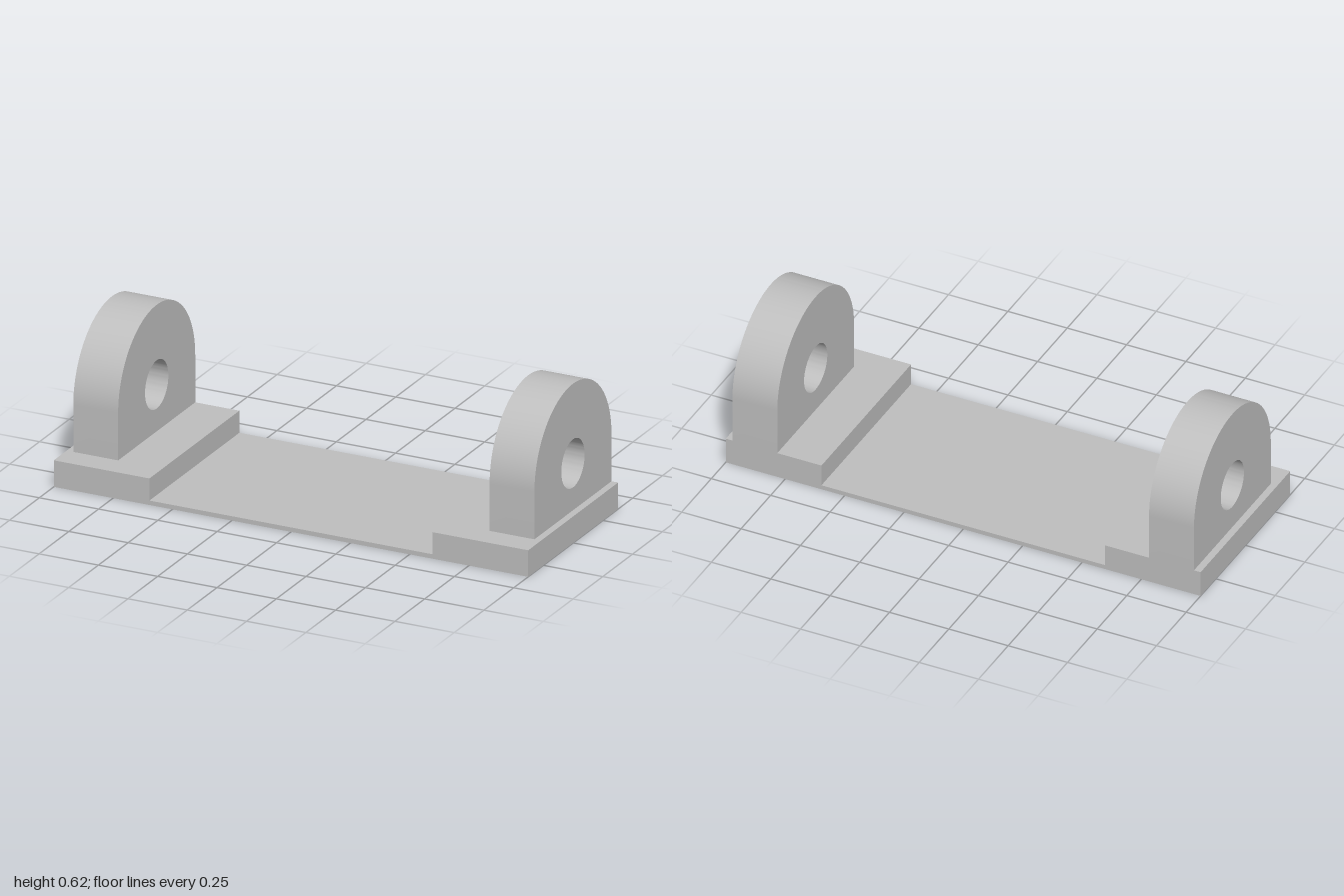
import * as THREE from 'three';
import { toCreasedNormals } from 'three/addons/utils/BufferGeometryUtils.js';

const HALF_DEPTH = 0.378;
const PAD_TOP = 0.108;
const FLOOR_TOP = 0.018;

export function createModel() {
  const model = new THREE.Group();
  model.name = 'bracket';
  const grey = new THREE.MeshStandardMaterial({ color: 0xbfbfbf });
  grey.name = 'grey';

  // Base plate: thin floor with a raised pad at each end, extruded front to back
  const profile = new THREE.Shape([
    [-1, 0], [1, 0], [1, PAD_TOP], [0.597, PAD_TOP], [0.597, FLOOR_TOP],
    [-0.597, FLOOR_TOP], [-0.597, PAD_TOP], [-1, PAD_TOP],
  ].map(([x, y]) => new THREE.Vector2(x, y)));
  const baseGeometry = new THREE.ExtrudeGeometry(profile, { depth: 2 * HALF_DEPTH, bevelEnabled: false });
  baseGeometry.translate(0, 0, -HALF_DEPTH);
  const base = new THREE.Mesh(baseGeometry, grey);
  base.name = 'basePlate';
  model.add(base);

  // Lug: round-topped upright with a through hole, flush with the back of the base
  const radius = 0.324;
  const u = HALF_DEPTH - radius; // shape x becomes -z after the turn
  const axisY = 0.299;
  const outline = new THREE.Shape();
  outline.moveTo(u - radius, PAD_TOP);
  outline.lineTo(u + radius, PAD_TOP);
  outline.lineTo(u + radius, axisY);
  outline.absarc(u, axisY, radius, 0, Math.PI, false);
  outline.closePath();
  const hole = new THREE.Path();
  hole.absarc(u, axisY, 0.098, 0, Math.PI * 2, true);
  outline.holes.push(hole);

  const inner = 0.783, outer = 0.972;
  const extruded = new THREE.ExtrudeGeometry(outline, {
    depth: outer - inner, bevelEnabled: false, curveSegments: 40,
  });
  extruded.rotateY(Math.PI / 2);
  const lugGeometry = toCreasedNormals(extruded, Math.PI / 6);

  for (const [name, x] of [['leftLug', inner], ['rightLug', -outer]]) {
    const lug = new THREE.Mesh(lugGeometry, grey);
    lug.name = name;
    lug.position.x = x;
    model.add(lug);
  }
  return model;
}
